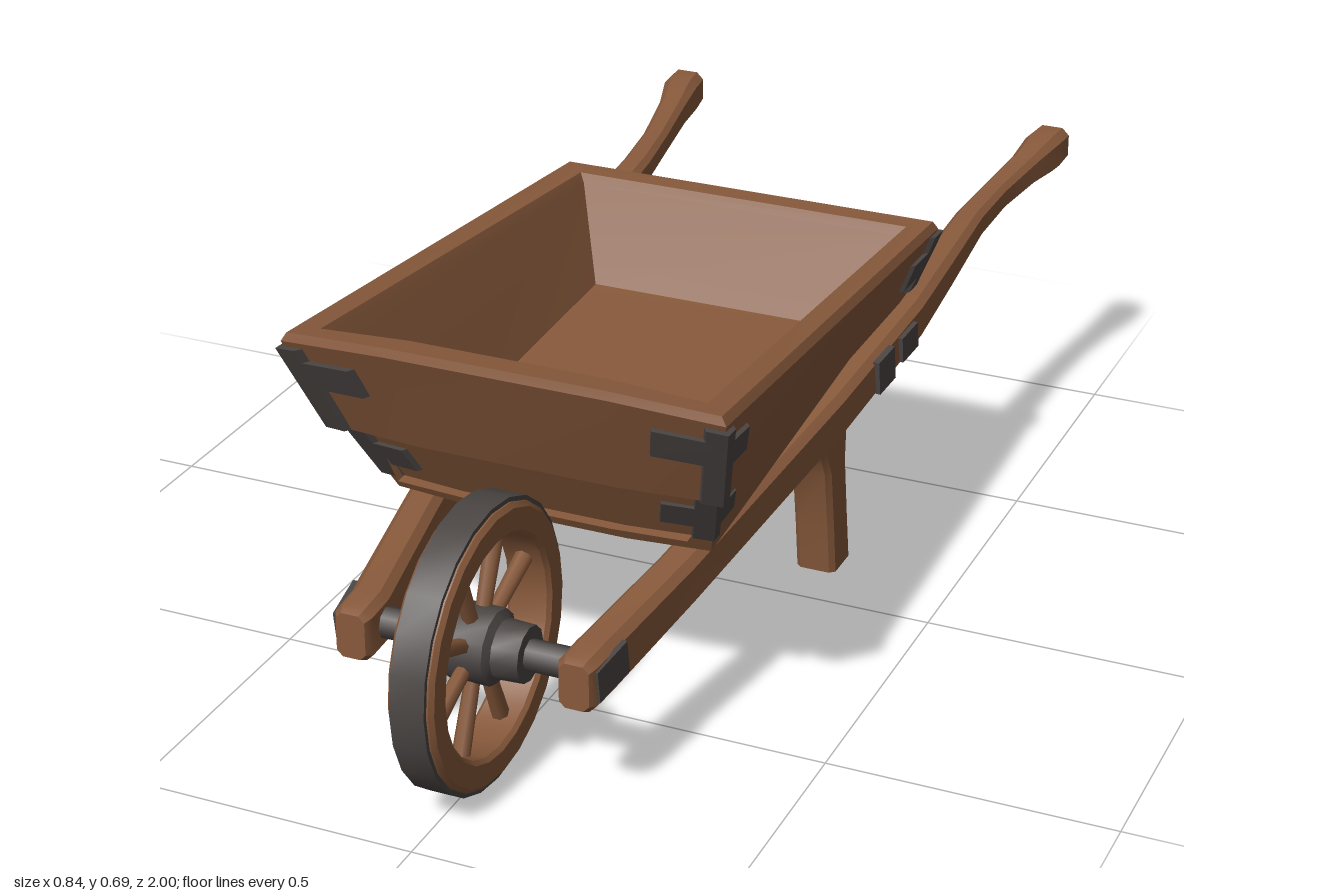
import * as THREE from 'three';
import { toCreasedNormals } from 'three/addons/utils/BufferGeometryUtils.js';

const wood = new THREE.MeshStandardMaterial({ color: 0x87593b });
wood.name = 'wood';
const iron = new THREE.MeshStandardMaterial({ color: 0x4b4644, side: THREE.DoubleSide });
iron.name = 'iron';

// Skin a list of equal-length point rings and cap both ends
function loft(rings, crease = 0.5) {
  const n = rings[0].length, pos = rings.flat(2), idx = [];
  for (let r = 0; r < rings.length - 1; r++) {
    for (let i = 0; i < n; i++) {
      const a = r * n + i, b = r * n + (i + 1) % n;
      idx.push(a, b, b + n, a, b + n, a + n);
    }
  }
  const e = (rings.length - 1) * n;
  for (let i = 1; i < n - 1; i++) idx.push(0, i + 1, i, e, e + i, e + i + 1);
  const g = new THREE.BufferGeometry();
  g.setAttribute('position', new THREE.Float32BufferAttribute(pos, 3));
  g.setIndex(idx);
  return toCreasedNormals(g, crease);
}

// Eight-sided chamfered rectangle outline
function chamfer(hx, hy, c = 0.4) {
  const k = Math.min(hx, hy) * c, a = hx - k, b = hy - k;
  return [[hx, -b], [hx, b], [a, hy], [-a, hy], [-hx, b], [-hx, -b], [-a, -hy], [a, -hy]];
}
const alongZ = ([x, y, z, hx, hy]) => chamfer(hx, hy).map(([u, v]) => [x + u, y + v, z]);
const alongY = ([x, y, z, hx, hz]) => chamfer(hz, hx, 0.25).map(([u, v]) => [x + v, y, z + u]);

// Tray outline: half widths, ends and heights at front and back, front bulge and lift
const level = (wf, wb, zf, zb, yf, yb, bulge = 0.015, lift = 0) => ({ wf, wb, zf, zb, yf, yb, bulge, lift });
const mix = (a, b, t) => a + (b - a) * t;
const atFront = (R, s, d) => {
  const f = d / (R.wf * 0.5);
  return [s * (R.wf - d), R.yf + R.lift * f, R.zf + R.bulge * f];
};
const atBack = (R, s, d) => [s * (R.wb - d), R.yb, R.zb];
const atSide = (R, s, k) => [s * mix(R.wf, R.wb, k), mix(R.yf, R.yb, k), mix(R.zf, R.zb, k)];
const outline = R => [
  atFront(R, -1, R.wf / 2), atFront(R, 1, R.wf / 2), atFront(R, 1, 0),
  atBack(R, 1, 0), atBack(R, -1, 0), atFront(R, -1, 0),
];

const BASE = level(0.285, 0.275, 0.475, -0.25, 0.335, 0.395);
const SEAM_LOW = level(0.33, 0.315, 0.565, -0.3, 0.495, 0.475);
const SEAM_HIGH = level(0.345, 0.328, 0.58, -0.315, 0.485, 0.468);
const RIM = level(0.387, 0.366, 0.662, -0.372, 0.665, 0.585, 0.018, 0.015);
const TRAY = [
  BASE, SEAM_LOW, SEAM_HIGH, RIM,
  level(0.378, 0.358, 0.658, -0.364, 0.68, 0.6, 0.018, 0.015),
  level(0.338, 0.32, 0.618, -0.33, 0.677, 0.597, 0.012, 0.015),
  level(0.33, 0.31, 0.61, -0.322, 0.66, 0.58, 0.012, 0.015),
  level(0.262, 0.25, 0.52, -0.24, 0.37, 0.42, 0.01),
];

// Iron strap wrapping a tray corner between heights t0 and t1 of a plank
function strap(low, high, s, front, reach, sideReach, t0, t1) {
  const stations = front
    ? [R => atFront(R, s, reach), R => atFront(R, s, 0), R => atSide(R, s, sideReach)]
    : [R => atBack(R, s, reach), R => atBack(R, s, 0), R => atSide(R, s, 1 - sideReach)];
  const grow = ([x, y, z], k) => [x * k, y, (z - 0.155) * k + 0.155];
  return loft(stations.map(f => {
    const lo = f(low), hi = f(high);
    const p = [t0, t1].map(t => lo.map((v, i) => mix(v, hi[i], t)));
    return [grow(p[0], 0.99), grow(p[0], 1.024), grow(p[1], 1.024), grow(p[1], 0.99)];
  }), 0.3);
}

// Ring or hub turned around the x axis
function turned(profile, segments) {
  const g = new THREE.LatheGeometry(profile.map(p => new THREE.Vector2(...p)), segments);
  return toCreasedNormals(g.rotateZ(-Math.PI / 2), 0.6);
}

export function createModel() {
  const model = new THREE.Group();
  const add = (name, geometry, material, parent = model) => {
    const m = new THREE.Mesh(geometry, material);
    m.name = name;
    parent.add(m);
    return m;
  };

  add('tray', loft(TRAY.map(outline), 0.3), wood);

  // Wheel
  const wheel = new THREE.Group();
  wheel.name = 'wheel';
  wheel.position.set(0, 0.246, 0.753);
  model.add(wheel);
  add('rim', turned([[0.185, -0.033], [0.192, -0.04], [0.23, -0.04], [0.238, -0.033], [0.238, 0.033],
    [0.23, 0.04], [0.192, 0.04], [0.185, 0.033], [0.185, -0.033]], 24), wood, wheel);
  add('tyre', turned([[0.23, -0.03], [0.246, -0.03], [0.246, 0.03], [0.23, 0.03]], 24), iron, wheel);
  add('hub', turned([[0, -0.092], [0.048, -0.092], [0.05, -0.045], [0.064, -0.036], [0.064, 0.036],
    [0.05, 0.045], [0.048, 0.092], [0, 0.092]], 12), iron, wheel);
  add('axle', new THREE.CylinderGeometry(0.027, 0.027, 0.36, 8).rotateZ(Math.PI / 2), iron, wheel);
  for (let i = 0; i < 8; i++) {
    const spoke = new THREE.CylinderGeometry(0.016, 0.013, 0.15, 7).translate(0, 0.122, 0);
    add('spoke', spoke.rotateX((i + 0.5) * Math.PI / 4), wood, wheel);
  }

  for (const s of [1, -1]) {
    const side = new THREE.Group();
    side.name = s > 0 ? 'leftSide' : 'rightSide';
    model.add(side);

    // Shaft with carved handle, from grip to axle
    add('shaft', loft([
      [0.388, 0.532, -1, 0.018, 0.02], [0.386, 0.53, -0.985, 0.034, 0.034], [0.382, 0.527, -0.94, 0.035, 0.037],
      [0.37, 0.517, -0.87, 0.027, 0.029], [0.35, 0.503, -0.74, 0.024, 0.025], [0.34, 0.49, -0.63, 0.026, 0.027],
      [0.338, 0.462, -0.46, 0.03, 0.034], [0.336, 0.433, -0.3, 0.031, 0.039], [0.3, 0.368, 0, 0.032, 0.043],
      [0.236, 0.284, 0.5, 0.033, 0.044], [0.2, 0.246, 0.74, 0.034, 0.048], [0.197, 0.244, 0.8, 0.033, 0.047],
      [0.197, 0.244, 0.815, 0.026, 0.04],
    ].map(([x, ...rest]) => alongZ([s * x, ...rest]))), wood, side);
    const cheek = add('axlePlate', new THREE.BoxGeometry(0.01, 0.06, 0.09), iron, side);
    cheek.position.set(s * 0.234, 0.25, 0.755);
    cheek.rotation.set(0.15, -s * 0.12, 0);

    // Iron plates on the outside of the shaft
    for (const [x, y, z, h] of [[0.352, 0.4, -0.148, 0.066], [0.362, 0.418, -0.238, 0.05]]) {
      const plate = add('shaftPlate', new THREE.BoxGeometry(0.012, h, 0.06), iron, side);
      plate.position.set(s * x, y, z);
      plate.rotation.set(0.16, -s * 0.12, 0);
    }

    // Leg flaring into a bearer under the tray
    add('leg', loft([
      [0.251, 0.005, -0.132, 0.037, 0.042], [0.251, 0.1, -0.118, 0.037, 0.041], [0.252, 0.22, -0.097, 0.037, 0.042],
      [0.252, 0.29, -0.078, 0.038, 0.062], [0.255, 0.335, -0.06, 0.038, 0.1], [0.26, 0.375, -0.06, 0.038, 0.1],
    ].map(([x, ...rest]) => alongY([s * x, ...rest]))), wood, side);
    add('bearer', loft([[-0.3, 0.365], [0.04, 0.35]].map(([z, y]) => alongZ([s * 0.25, y, z, 0.036, 0.03]))), wood, side);

    // Corner straps
    add('frontUpperStrap', strap(SEAM_HIGH, RIM, s, true, 0.12, 0.09, 0.5, 0.8), iron, side);
    add('frontUpperUpright', strap(SEAM_HIGH, RIM, s, true, 0.035, 0.03, 0, 0.94), iron, side);
    add('frontLowerUpright', strap(BASE, SEAM_LOW, s, true, 0.035, 0.03, 0.22, 1), iron, side);
    add('frontLowerStrap', strap(BASE, SEAM_LOW, s, true, 0.09, 0.1, 0.42, 0.72), iron, side);
    add('backStrap', strap(SEAM_HIGH, RIM, s, false, 0.1, 0.11, 0.35, 0.72), iron, side);
    add('backUpright', strap(SEAM_HIGH, RIM, s, false, 0.035, 0.04, 0.15, 0.95), iron, side);
  }
  return model;
}
